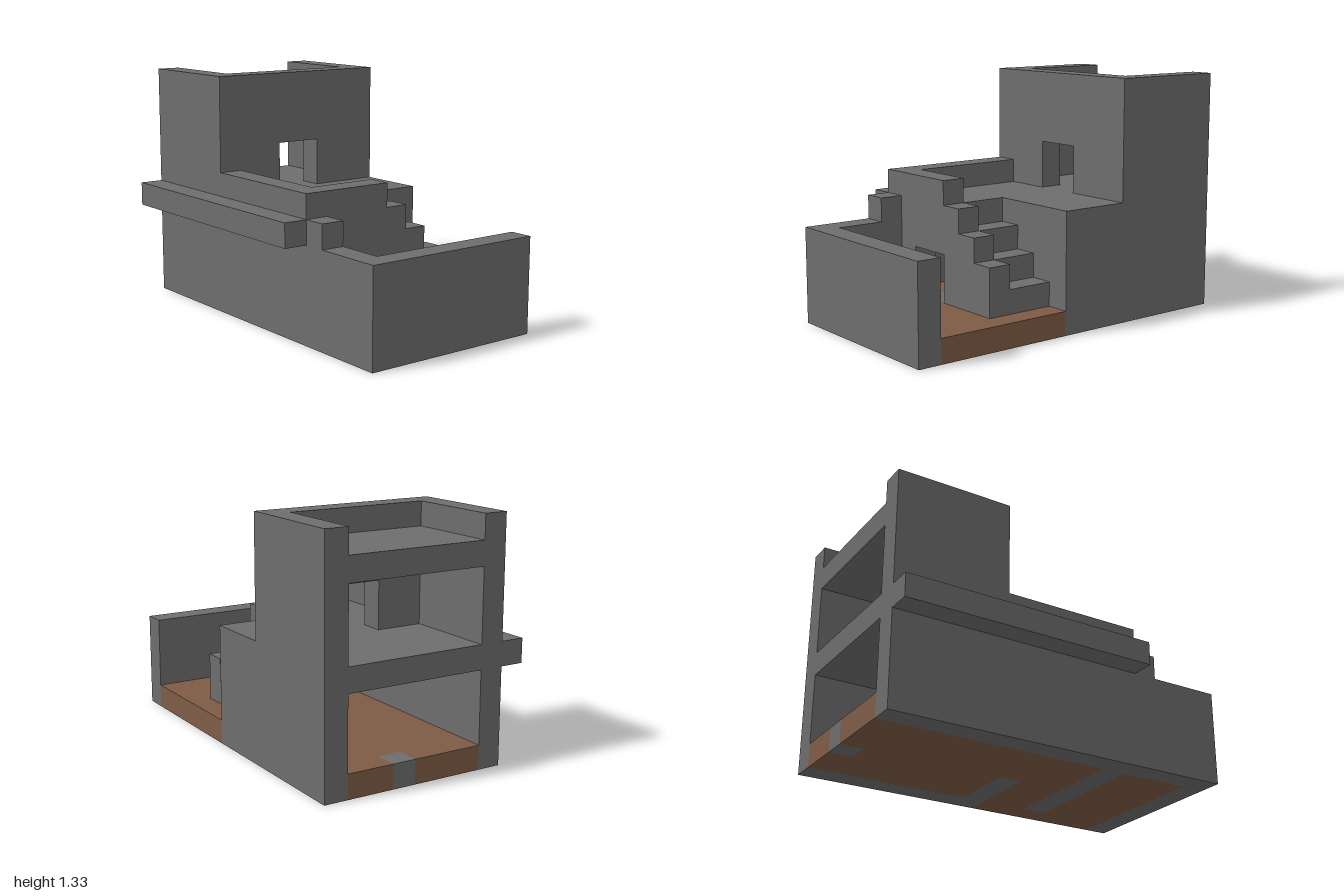
import * as THREE from 'three';

// The house sits on a block grid: 15 wide, 10 tall, 9 deep.
const U = 2 / 15;

export function createModel() {
  const model = new THREE.Group();
  model.name = 'blockHouse';

  const stone = new THREE.MeshStandardMaterial({ color: 0x6d6d6d });
  stone.name = 'greyStone';
  const wood = new THREE.MeshStandardMaterial({ color: 0x7d5b45 });
  wood.name = 'brownWood';

  // Box spanning grid ranges [from, to] along x, y and z
  function block(name, [x0, x1], [y0, y1], [z0, z1], material = stone) {
    const geometry = new THREE.BoxGeometry((x1 - x0) * U, (y1 - y0) * U, (z1 - z0) * U);
    const mesh = new THREE.Mesh(geometry, material);
    mesh.position.set(((x0 + x1) / 2 - 7.5) * U, ((y0 + y1) / 2) * U, ((z0 + z1) / 2 - 4.5) * U);
    mesh.name = name;
    model.add(mesh);
  }

  // Wooden floors, with a stone sill in the open side of the room
  block('roomFloorBack', [0, 1], [0, 1], [1, 3], wood);
  block('doorSill', [0, 1], [0, 1], [3, 4]);
  block('roomFloorFront', [0, 1], [0, 1], [4, 7], wood);
  block('roomFloor', [1, 7], [0, 1], [1, 7], wood);
  block('roomFloorBesideStair', [7, 10], [0, 1], [4, 7], wood);
  block('floorUnderStair', [8, 10], [0, 1], [1, 4], wood);
  block('yardFloorBack', [8, 11], [0, 1], [0, 1], wood);
  block('yardFloor', [11, 14], [0, 1], [0, 7], wood);

  // Ground storey walls
  block('frontWall', [0, 15], [0, 4], [7, 8]);
  block('yardSideWall', [14, 15], [0, 4], [0, 7]);
  block('frontWallPost', [11, 12], [4, 5], [7, 8]);
  block('backWall', [0, 8], [0, 4], [0, 1]);
  block('stairWall', [7, 8], [0, 4], [1, 4]);

  // Wall between room and yard, with a doorway
  block('yardDoorSill', [10, 11], [0, 1], [1, 7]);
  block('yardDoorLintel', [10, 11], [3, 4], [4, 6]);
  block('yardDoorJamb', [10, 11], [1, 4], [6, 7]);

  // Upper deck, with a ledge along the front
  block('upperDeck', [0, 8], [4, 5], [0, 8]);
  block('upperDeckBesideStair', [8, 11], [4, 5], [4, 8]);
  block('frontLedge', [0, 11], [4, 5], [8, 9]);

  // Stair up to the deck, with a stepped rail one block higher
  for (let i = 0; i < 3; i++) {
    block('stairStep' + (i + 1), [8, 10], [1, 2 + i], [1 + i, 2 + i]);
    block('stairRail' + (i + 1), [10, 11], [1, 3 + i], [1 + i, 2 + i]);
  }

  // Deck parapet
  block('deckParapetFront', [5, 11], [5, 6], [7, 8]);
  block('deckParapetSide', [10, 11], [5, 6], [4, 7]);

  // Tower walls, open on one side
  block('towerBackWall', [0, 5], [5, 10], [0, 1]);
  block('towerFrontWall', [0, 5], [5, 10], [7, 8]);
  block('towerInnerWallBack', [4, 5], [5, 10], [1, 3]);
  block('towerInnerWallFront', [4, 5], [5, 10], [5, 7]);
  block('towerDoorLintel', [4, 5], [7, 10], [3, 5]);
  block('towerRoof', [0, 4], [8, 9], [1, 7]);

  return model;
}
